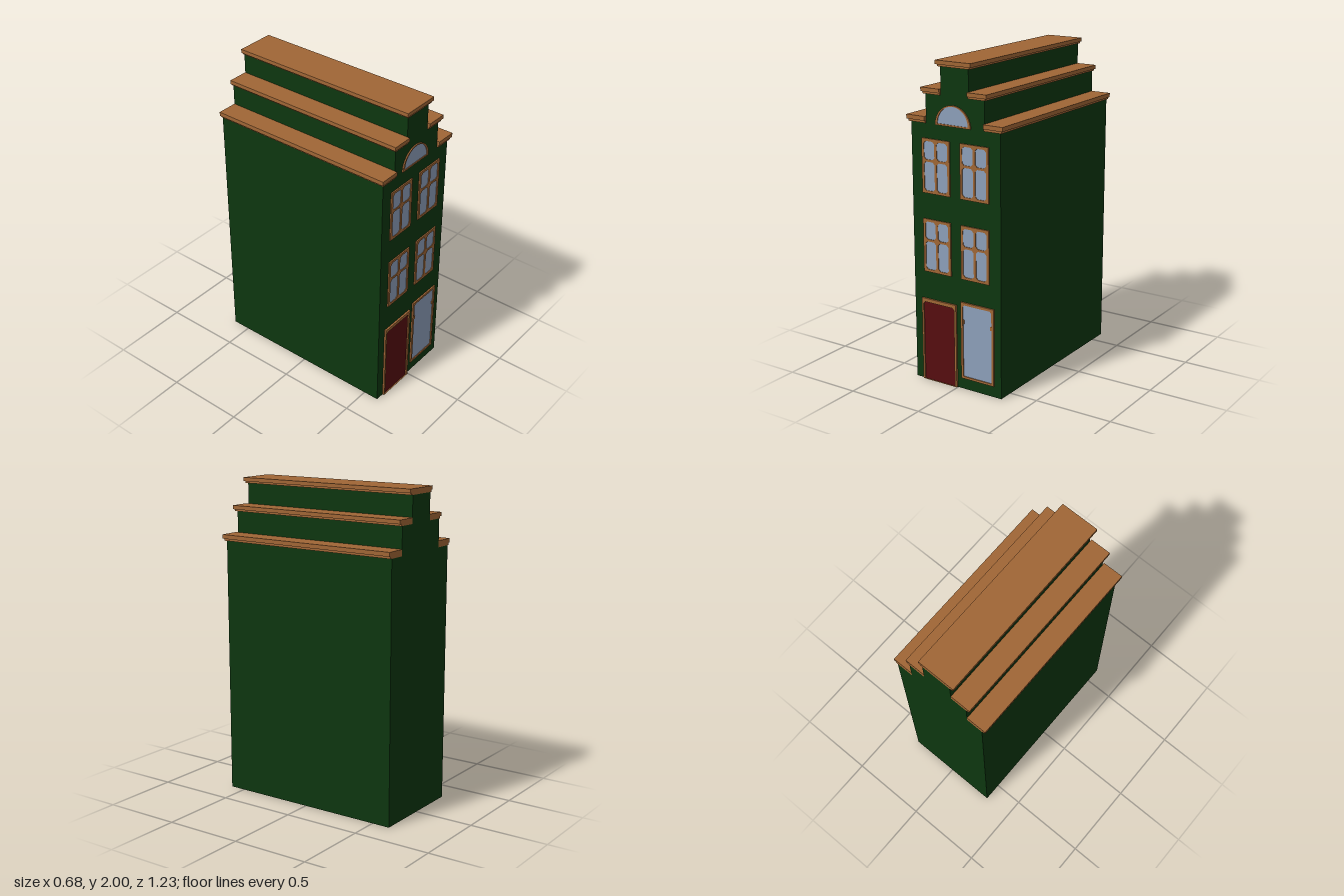
import * as THREE from 'three';

const FRONT = 0.6, BACK = -0.617;

function material(name, color, side = THREE.FrontSide) {
  const m = new THREE.MeshStandardMaterial({ color, side });
  m.name = name;
  return m;
}

// Rectangle outline with clipped corners; c = top clip, b = bottom clip
function panel(Type, x0, y0, x1, y1, c = 0, b = c) {
  const points = [
    [x0 + b, y0], [x1 - b, y0], [x1, y0 + b], [x1, y1 - c],
    [x1 - c, y1], [x0 + c, y1], [x0, y1 - c], [x0, y0 + b],
  ].map(([x, y]) => new THREE.Vector2(x, y));
  return new Type(points.filter((p, i) => !i || !p.equals(points[i - 1])));
}

// Half-round outline standing on y
function arch(Type, x, y, r) {
  const s = new Type();
  s.moveTo(x + r, y);
  s.absarc(x, y, r, 0, Math.PI, false);
  s.closePath();
  return s;
}

export function createModel() {
  const house = new THREE.Group();
  house.name = 'gabledTownhouse';
  const green = material('wallGreen', 0x0d360f, THREE.DoubleSide);
  const brown = material('trimBrown', 0xa06635, THREE.DoubleSide);
  const red = material('doorRed', 0x560d10);
  const glass = material('glassBlue', 0x8d9fba);

  const add = (name, geometry, mat, x = 0, y = 0, z = 0, parent = house) => {
    const mesh = new THREE.Mesh(geometry, mat);
    mesh.name = name;
    mesh.position.set(x, y, z);
    parent.add(mesh);
    return mesh;
  };
  const box = (name, x0, x1, y0, y1, z0, z1, mat) =>
    add(name, new THREE.BoxGeometry(x1 - x0, y1 - y0, z1 - z0), mat, (x0 + x1) / 2, (y0 + y1) / 2, (z0 + z1) / 2);

  // Storeys of the stepped gable: half width, bottom, top, top of the coping
  const tiers = [
    { w: 0.315, y0: 0, y1: 1.623, top: 1.663 },
    { w: 0.207, y0: 1.623, y1: 1.797, top: 1.834 },
    { w: 0.098, y0: 1.797, y1: 1.964, top: 2.0 },
  ];

  // Stepped end walls
  const gable = () => {
    const right = tiers.flatMap(t => [[t.w, t.y0], [t.w, t.y1]]);
    const left = right.map(([x, y]) => [-x, y]).reverse();
    return new THREE.Shape([...right, ...left].map(p => new THREE.Vector2(...p)));
  };
  const frontShape = gable();
  frontShape.holes.push(panel(THREE.Path, 0.04, 0.082, 0.257, 0.552));
  add('frontWall', new THREE.ShapeGeometry(frontShape), green, 0, 0, FRONT);
  const back = new THREE.ShapeGeometry(gable());
  back.rotateY(Math.PI);
  add('backWall', back, green, 0, 0, BACK);

  // Side walls and two-layer copings on every step
  const depth = FRONT - BACK;
  tiers.forEach((t, i) => {
    const inner = i < 2 ? tiers[i + 1].w : 0;
    const mid = (t.y1 + t.top) / 2 - 0.006;
    for (const s of [-1, 1]) {
      const wall = add('sideWall', new THREE.PlaneGeometry(depth, t.y1 - t.y0), green,
        s * t.w, (t.y0 + t.y1) / 2, (FRONT + BACK) / 2);
      wall.rotation.y = s * Math.PI / 2;
      const span = (out) => (s > 0 ? [inner, t.w + out] : [-t.w - out, -inner]);
      if (i < 2) {
        box('copingLower', ...span(0.012), t.y1, mid, BACK, 0.61, brown);
        box('copingUpper', ...span(0.024), mid, t.top, BACK, 0.617, brown);
      }
    }
    if (i === 2) {
      box('topCopingLower', -t.w - 0.014, t.w + 0.014, t.y1, mid, BACK, 0.61, brown);
      box('topCopingUpper', -t.w - 0.026, t.w + 0.026, mid, t.top, BACK, 0.617, brown);
    }
  });

  // Frame with openings, and a thin pane set inside it
  const framed = (name, outline, holes, pane, paneMat, thick) => {
    const group = new THREE.Group();
    group.name = name;
    outline.holes.push(...holes);
    add(name + 'Frame', new THREE.ExtrudeGeometry(outline, { depth: thick, bevelEnabled: false, curveSegments: 16 }),
      brown, 0, 0, FRONT, group);
    add(name + 'Pane', new THREE.ShapeGeometry(pane, 16), paneMat, 0, 0, FRONT + 0.004, group);
    house.add(group);
  };

  // Four upper windows, each with four panes
  for (const cx of [-0.138, 0.136]) {
    for (const y0 of [0.708, 1.2]) {
      const y1 = y0 + 0.332, ym = y0 + 0.199, x0 = cx - 0.1, x1 = cx + 0.1;
      const holes = [];
      for (const [a, b] of [[x0 + 0.016, cx - 0.008], [cx + 0.008, x1 - 0.016]]) {
        holes.push(panel(THREE.Path, a, y0 + 0.016, b, ym - 0.007, 0.014));
        holes.push(panel(THREE.Path, a, ym + 0.007, b, y1 - 0.016, 0.014));
      }
      framed('sashWindow', panel(THREE.Shape, x0, y0, x1, y1), holes,
        panel(THREE.Shape, x0 + 0.005, y0 + 0.005, x1 - 0.005, y1 - 0.005), glass, 0.008);
    }
  }

  // Large ground-floor window with small side blocks
  framed('shopWindow', panel(THREE.Shape, 0.03, 0.072, 0.267, 0.562),
    [panel(THREE.Path, 0.045, 0.086, 0.252, 0.546, 0.012, 0.004)],
    panel(THREE.Shape, 0.035, 0.077, 0.262, 0.557), glass, 0.01);
  box('windowBlock', 0.044, 0.055, 0.426, 0.45, FRONT, FRONT + 0.009, brown);
  box('windowBlock', 0.242, 0.253, 0.426, 0.45, FRONT, FRONT + 0.009, brown);
  add('windowBacking', new THREE.PlaneGeometry(0.225, 0.478), brown, 0.1485, 0.317, FRONT + 0.001);

  // Half-round attic window
  framed('atticWindow', arch(THREE.Shape, -0.012, 1.621, 0.125),
    [arch(THREE.Path, -0.012, 1.631, 0.108)], arch(THREE.Shape, -0.012, 1.625, 0.117), glass, 0.008);

  // Door and its surround
  framed('door', panel(THREE.Shape, -0.258, 0, -0.004, 0.533),
    [panel(THREE.Path, -0.246, 0.001, -0.018, 0.511, 0.013, 0)],
    panel(THREE.Shape, -0.252, 0, -0.01, 0.525), red, 0.012);

  return house;
}
